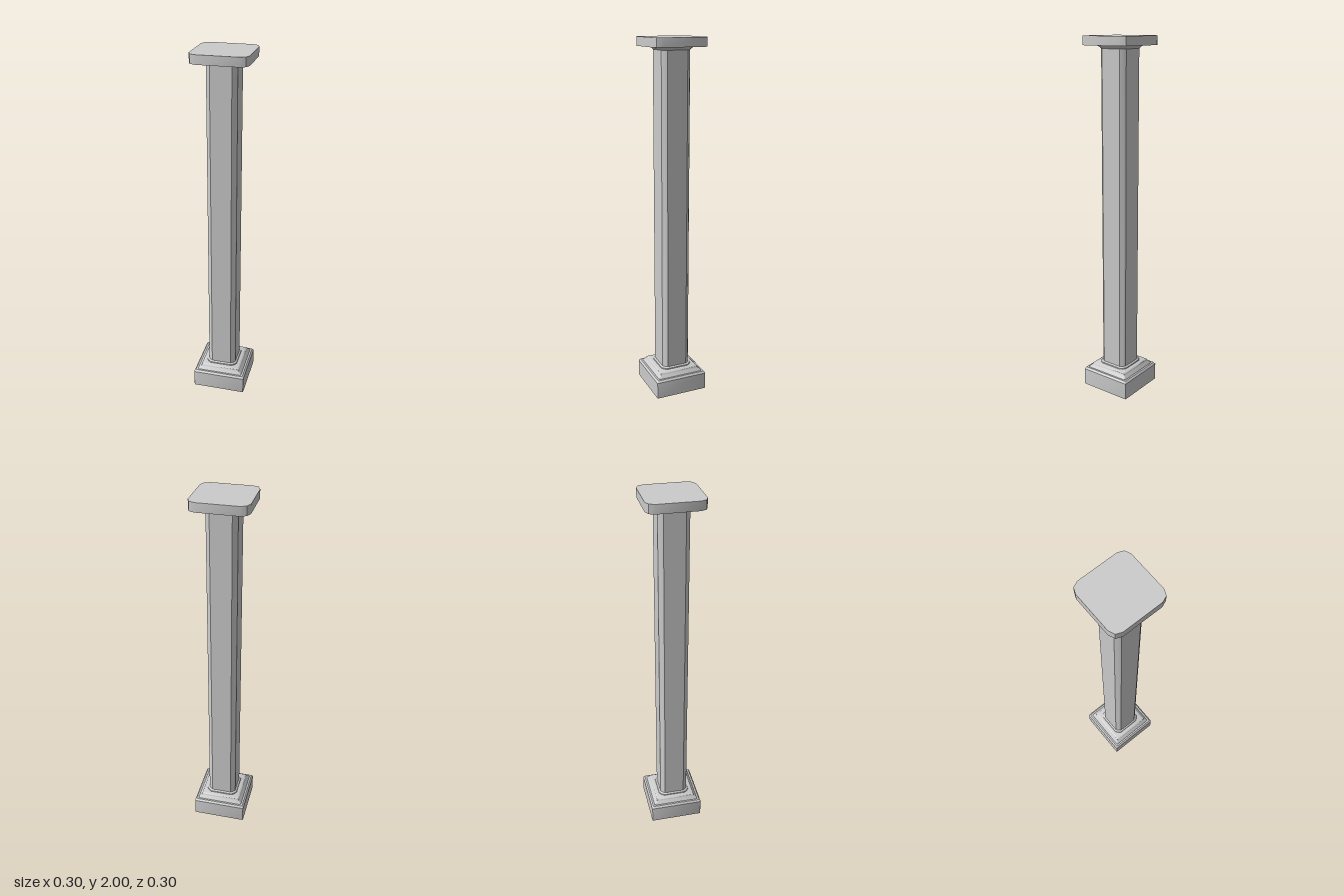
import * as THREE from 'three';
import { toCreasedNormals } from 'three/addons/utils/BufferGeometryUtils.js';

// Unit square outline with each corner cut by two facets: start = where the cut begins, mid = its middle point
function cutSquare(start, mid) {
  const corner = [[1, start], [mid, mid], [start, 1]];
  const points = [];
  for (let q = 0; q < 4; q++) {
    const c = Math.round(Math.cos(q * Math.PI / 2)), s = Math.round(Math.sin(q * Math.PI / 2));
    for (const [x, y] of corner) points.push([x * c - y * s, -(x * s + y * c)]);
  }
  return points;
}

// Stack scaled outlines along a profile of [half width, height]; half width 0 closes an end
function loft(outline, profile) {
  const pos = [], n = outline.length;
  const at = ([r, y], i) => [outline[i % n][0] * r, y, outline[i % n][1] * r];
  for (let j = 0; j < profile.length - 1; j++) {
    const lo = profile[j], hi = profile[j + 1];
    for (let i = 0; i < n; i++) {
      if (lo[0] > 0) pos.push(...at(lo, i), ...at(lo, i + 1), ...at(hi, i + 1));
      if (hi[0] > 0) pos.push(...at(lo, i), ...at(hi, i + 1), ...at(hi, i));
    }
  }
  const geometry = new THREE.BufferGeometry();
  geometry.setAttribute('position', new THREE.Float32BufferAttribute(pos, 3));
  return toCreasedNormals(geometry, THREE.MathUtils.degToRad(32));
}

export function createModel() {
  const group = new THREE.Group();
  const material = new THREE.MeshStandardMaterial({ color: 0xcccccc });
  const add = (name, outline, profile) => {
    const mesh = new THREE.Mesh(loft(outline, profile), material);
    mesh.name = name;
    group.add(mesh);
  };
  const sharp = cutSquare(0.96, 0.988);

  // Square block with a bevelled top edge
  add('plinth', sharp, [[0, 0], [0.152, 0], [0.152, 0.097], [0.143, 0.108], [0, 0.108]]);

  // Stepped, sloping moulding on the plinth
  add('baseMoulding', sharp, [[0, 0.106], [0.134, 0.106], [0.131, 0.113], [0.118, 0.124],
    [0.115, 0.132], [0.108, 0.137], [0, 0.137]]);

  // Tall shaft, flared at both ends
  add('shaft', cutSquare(0.7, 0.875), [[0.092, 0.135], [0.09, 0.142], [0.081, 0.148],
    [0.081, 1.935], [0.087, 1.943], [0.102, 1.953]]);

  // Flat slab with cut corners
  add('cap', cutSquare(0.71, 0.915), [[0, 1.952], [0.152, 1.952], [0.152, 2], [0, 2]]);

  return group;
}
